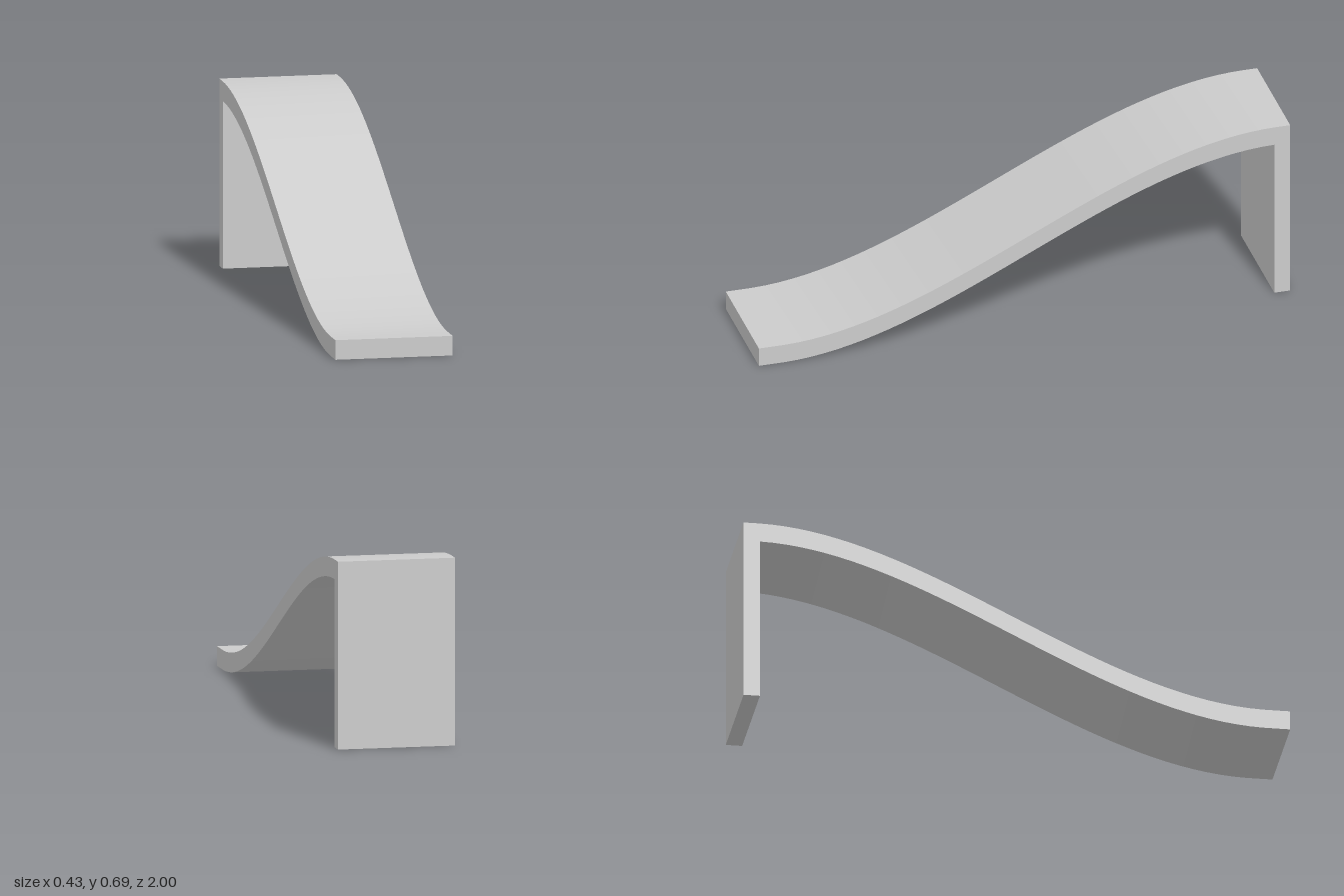
import * as THREE from 'three';
import { toCreasedNormals } from 'three/addons/utils/BufferGeometryUtils.js';

const WIDTH = 0.434, HEIGHT = 0.688, THICK = 0.072, LEG = 0.06;
const RISE = HEIGHT - THICK;
const STEPS = 40;

// Underside height of the ramp at distance s from the centre (s = -z)
function underside(s) {
  return RISE * THREE.MathUtils.smoothstep(s, -0.92, 0.95);
}

export function createModel() {
  const group = new THREE.Group();
  const material = new THREE.MeshStandardMaterial({ color: 0xcccccc });

  // Side profile: underside, back leg, then the top surface back to the front
  const points = [];
  const inner = 1 - LEG;
  for (let i = 0; i <= STEPS; i++) {
    const s = -1 + (1 + inner) * i / STEPS;
    points.push(new THREE.Vector2(s, underside(s)));
  }
  points.push(new THREE.Vector2(inner, 0), new THREE.Vector2(1, 0));
  for (let i = STEPS; i >= 0; i--) {
    const s = -1 + 2 * i / STEPS;
    points.push(new THREE.Vector2(s, underside(s) + THICK));
  }

  // Extrude across the width and turn so the low end faces the front
  const extruded = new THREE.ExtrudeGeometry(new THREE.Shape(points), {
    depth: WIDTH, bevelEnabled: false,
  });
  extruded.translate(0, 0, -WIDTH / 2).rotateY(Math.PI / 2);

  const ramp = new THREE.Mesh(toCreasedNormals(extruded, Math.PI / 6), material);
  ramp.name = 'curvedRampWithBackLeg';
  group.add(ramp);
  return group;
}
